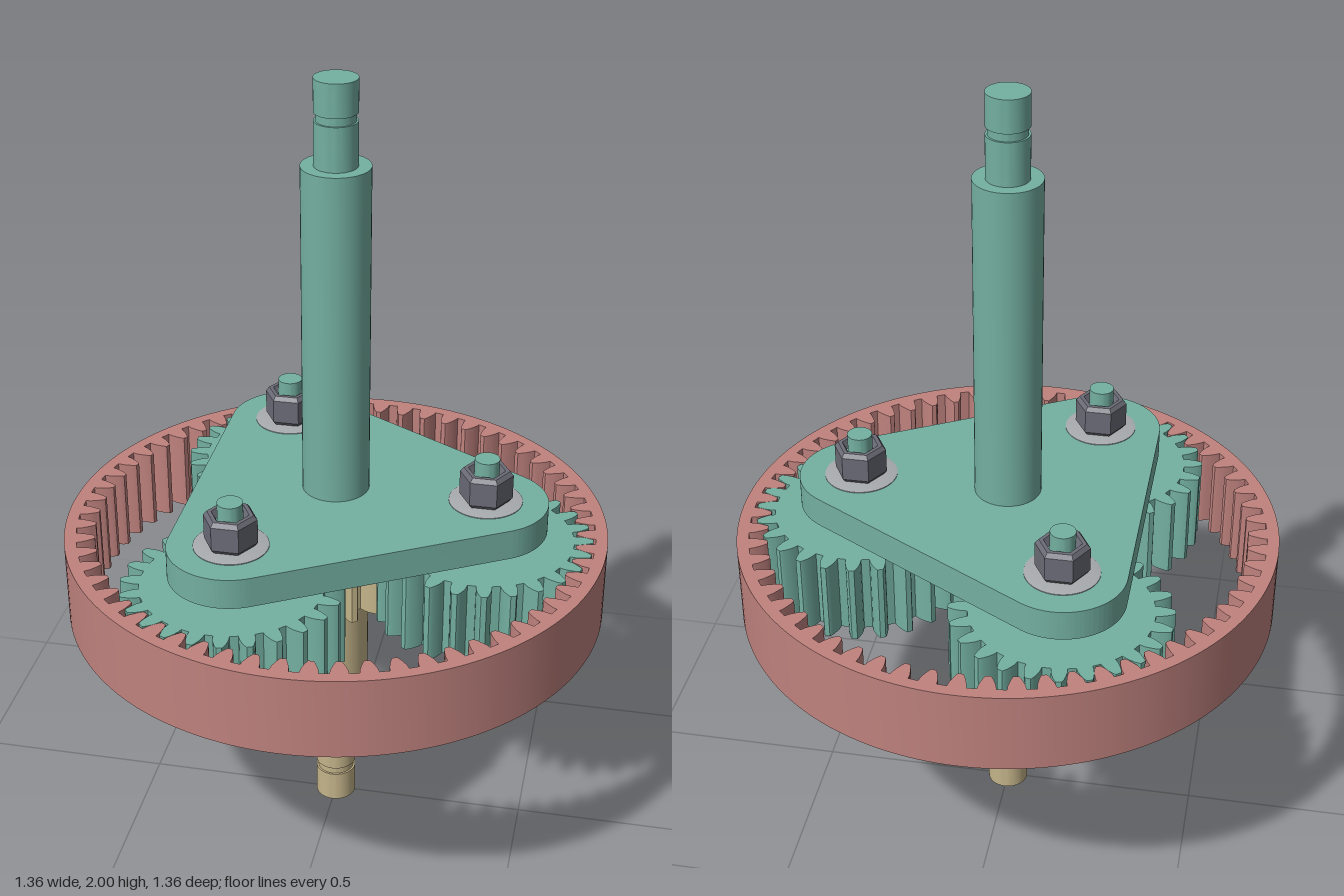
import * as THREE from 'three';
import { toCreasedNormals } from 'three/addons/utils/BufferGeometryUtils.js';

const MODULE = 0.0208; // shared gear tooth size
const GEAR_Y = 0.635, GEAR_H = 0.21, ORBIT = 0.375;

const paint = (name, color) => {
  const m = new THREE.MeshStandardMaterial({ color });
  m.name = name;
  return m;
};

// Half tooth outline: [radial offset, half thickness], in modules
const TOOTH = [[-1.25, 1.02], [-0.6, 0.95], [0, 0.77], [0.5, 0.58], [0.9, 0.38], [1, 0.3]];

// Closed gear outline; side = 1 for outward teeth, -1 for inward teeth
function gearPoints(teeth, side, phase) {
  const pitch = teeth * MODULE / 2;
  const points = [];
  const add = (mid, offset, half) => {
    const r = pitch + side * offset * MODULE;
    const a = mid + half * MODULE / pitch;
    points.push(new THREE.Vector2(r * Math.cos(a), r * Math.sin(a)));
  };
  for (let i = 0; i < teeth; i++) {
    const mid = (i + phase) * Math.PI * 2 / teeth;
    TOOTH.forEach(([o, h]) => add(mid, o, -h));
    [...TOOTH].reverse().forEach(([o, h]) => add(mid, o, h));
  }
  return points;
}

// Extrude a plan shape upward from height y
function slab(shape, y, depth) {
  const g = new THREE.ExtrudeGeometry(shape, { depth, bevelEnabled: false, curveSegments: 96 });
  g.rotateX(-Math.PI / 2);
  g.translate(0, y, 0);
  return toCreasedNormals(g, 0.3);
}

// Revolve a profile of [radius, height] pairs, listed from bottom to top
function turned(profile, segments = 48) {
  const g = new THREE.LatheGeometry(profile.map(([r, y]) => new THREE.Vector2(r, y)), segments, Math.PI / 2);
  return toCreasedNormals(g, 0.3);
}

export function createModel() {
  const model = new THREE.Group();
  model.name = 'planetaryGearSet';
  const green = paint('carrier green', 0x74b0a1);
  const red = paint('ring red', 0xbf827e);
  const tan = paint('sun tan', 0xc4b48a);
  const steel = paint('nut steel', 0x6c6c78);
  const silver = paint('washer silver', 0xa8abae);

  const add = (parent, name, geometry, material) => {
    const mesh = new THREE.Mesh(geometry, material);
    mesh.name = name;
    parent.add(mesh);
    return mesh;
  };

  // Ring gear with inward teeth
  const ring = new THREE.Shape().absarc(0, 0, 0.68, 0, Math.PI * 2);
  ring.holes.push(new THREE.Path(gearPoints(60, -1, 0)));
  add(model, 'ringGear', slab(ring, GEAR_Y, GEAR_H), red);

  // Sun gear and its input shaft
  add(model, 'sunGear', slab(new THREE.Shape(gearPoints(12, 1, 0)), GEAR_Y, GEAR_H), tan);
  add(model, 'inputShaft', turned([
    [0, 0], [0.052, 0], [0.052, 0.083], [0.047, 0.083], [0.047, 0.103], [0.052, 0.103],
    [0.052, 0.212], [0.083, 0.212], [0.083, GEAR_Y + 0.01],
  ]), tan);

  // Rounded triangular carrier plate and output shaft
  const plate = new THREE.Shape();
  for (let i = 0; i < 3; i++) {
    const a = i * Math.PI * 2 / 3;
    plate.absarc(ORBIT * Math.cos(a), ORBIT * Math.sin(a), 0.155, a - Math.PI / 3, a + Math.PI / 3);
  }
  add(model, 'carrierPlate', slab(plate, 0.875, 0.078), green);
  add(model, 'outputShaft', turned([
    [0.083, 0.94], [0.083, 1.793], [0.052, 1.793], [0.052, 1.9], [0.047, 1.9], [0.047, 1.92],
    [0.052, 1.92], [0.052, 2], [0, 2],
  ]), green);

  // Three planets with spacer, washer, stud and nut
  const planetGear = slab(new THREE.Shape(gearPoints(24, 1, 0.5)), GEAR_Y, GEAR_H);
  const spacer = turned([[0.083, 0.84], [0.083, 0.88]]);
  const washer = turned([[0.091, 0.95], [0.091, 0.955], [0.083, 0.957], [0.03, 0.957]]);
  const stud = turned([[0.031, 0.95], [0.031, 1.07], [0, 1.07]], 32);
  const nut = turned([
    [0.03, 0.956], [0.057, 0.956], [0.066, 0.967], [0.066, 1.029],
    [0.057, 1.04], [0.046, 1.04], [0.035, 1.02],
  ], 6);
  for (let i = 0; i < 3; i++) {
    const a = i * Math.PI * 2 / 3;
    const planet = new THREE.Group();
    planet.name = 'planet' + (i + 1);
    planet.position.set(ORBIT * Math.cos(a), 0, ORBIT * Math.sin(a));
    add(planet, 'planetGear', planetGear, green);
    add(planet, 'spacer', spacer, green);
    add(planet, 'washer', washer, silver);
    add(planet, 'stud', stud, green);
    add(planet, 'nut', nut, steel);
    model.add(planet);
  }
  return model;
}
